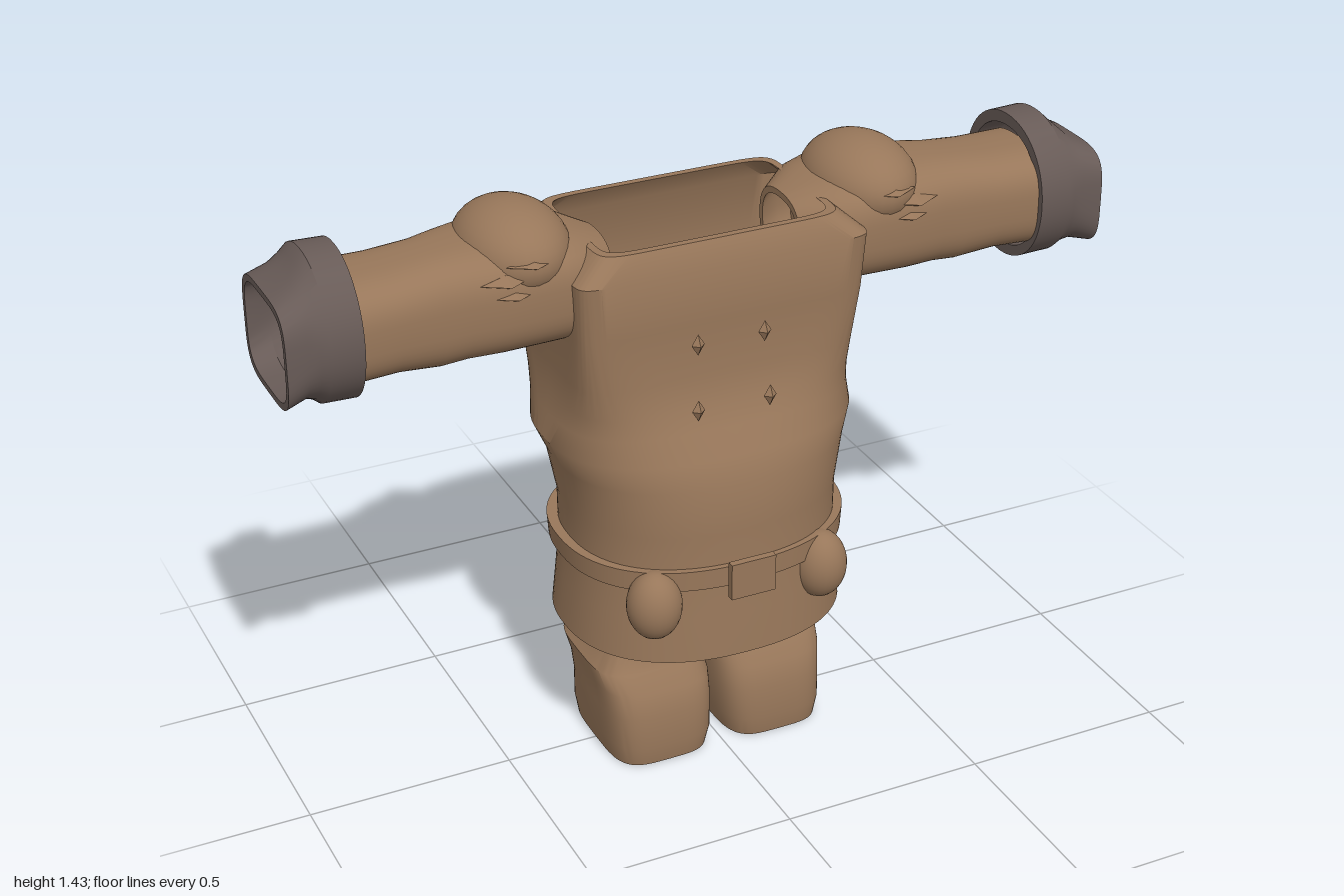
import * as THREE from 'three';
import { toCreasedNormals } from 'three/addons/utils/BufferGeometryUtils.js';

const leather = new THREE.MeshStandardMaterial({ color: 0x98775a, side: THREE.DoubleSide });
leather.name = 'brown leather';
const darkCloth = new THREE.MeshStandardMaterial({ color: 0x685b57, side: THREE.DoubleSide });
darkCloth.name = 'dark grey cloth';

// Rounded-rectangle cross-section; n = 2 is an ellipse, higher is boxier
function ring([y, x0, x1, z0, z1, n], count) {
  const pts = [];
  for (let i = 0; i < count; i++) {
    const a = (i / count) * Math.PI * 2;
    const c = Math.cos(a), s = Math.sin(a);
    const px = Math.sign(c) * Math.abs(c) ** (2 / n);
    const pz = Math.sign(s) * Math.abs(s) ** (2 / n);
    pts.push((x0 + x1) / 2 + px * (x1 - x0) / 2, y, (z0 + z1) / 2 + pz * (z1 - z0) / 2);
  }
  return pts;
}

// Skin a list of cross-sections
function loft(sections, crease = 0.6, count = 56) {
  const positions = sections.flatMap((s) => ring(s, count));
  const index = [];
  for (let j = 0; j < sections.length - 1; j++) {
    for (let i = 0; i < count; i++) {
      const a = j * count + i, b = j * count + ((i + 1) % count);
      index.push(a, a + count, b, b, a + count, b + count);
    }
  }
  const geo = new THREE.BufferGeometry();
  geo.setAttribute('position', new THREE.Float32BufferAttribute(positions, 3));
  geo.setIndex(index);
  return toCreasedNormals(geo, crease);
}

// Add an inner wall of thickness t, closed at both rims
function hollow(sections, t) {
  const inner = sections.map(([y, x0, x1, z0, z1, n]) => [y, x0 + t, x1 - t, z0 + t, z1 - t, n]).reverse();
  return [...sections, ...inner, sections[0]];
}

// Turn an upright loft to run along +x (section x becomes -y)
const alongX = (geo) => geo.rotateZ(-Math.PI / 2);

function add(parent, name, geo, mat, pos = [0, 0, 0], scale = [1, 1, 1]) {
  const mesh = new THREE.Mesh(geo, mat);
  mesh.name = name;
  mesh.position.set(...pos);
  mesh.scale.set(...scale);
  parent.add(mesh);
  return mesh;
}

function makeArm() {
  const arm = new THREE.Group();
  // sections: x, -top, -bottom, back z, front z, squareness
  const sleeve = [
    [0.23, -1.33, -1.16, -0.14, 0.06, 2.5],
    [0.30, -1.36, -1.13, -0.20, 0.11, 2.8],
    [0.36, -1.375, -1.12, -0.21, 0.125, 3],
    [0.50, -1.375, -1.115, -0.205, 0.12, 3],
    [0.58, -1.37, -1.115, -0.185, 0.11, 3],
    [0.64, -1.365, -1.11, -0.168, 0.105, 3],
    [0.74, -1.355, -1.12, -0.172, 0.11, 3],
    [0.86, -1.355, -1.115, -0.175, 0.115, 3],
  ];
  add(arm, 'sleeve', alongX(loft(hollow(sleeve, 0.015))), leather);

  const cuff = [
    [0.83, -1.413, -1.063, -0.215, 0.13, 2.1],
    [0.905, -1.415, -1.065, -0.217, 0.13, 2.1],
    [0.925, -1.395, -1.085, -0.20, 0.122, 2.3],
    [0.95, -1.37, -1.105, -0.182, 0.118, 3],
    [1.0, -1.345, -1.098, -0.175, 0.12, 4],
    [1.0, -1.33, -1.113, -0.16, 0.105, 4],
    [0.95, -1.34, -1.12, -0.165, 0.105, 3],
    [0.90, -1.385, -1.09, -0.19, 0.11, 2.2],
    [0.83, -1.385, -1.09, -0.19, 0.11, 2.1],
    [0.83, -1.413, -1.063, -0.215, 0.13, 2.1],
  ];
  add(arm, 'cuff', alongX(loft(cuff, 0.5)), darkCloth);

  add(arm, 'shoulderPad', new THREE.SphereGeometry(1, 32, 20), leather, [0.432, 1.33, -0.04], [0.128, 0.105, 0.167]);

  // Pointed cloth folds in front of and behind the shoulder
  for (const z of [0.105, -0.19]) {
    for (const [x, y] of [[0.44, 1.347], [0.5, 1.315], [0.485, 1.282]]) {
      add(arm, 'sleeveFold', new THREE.OctahedronGeometry(1), leather, [x, y, z], [0.06, 0.016, 0.035]);
    }
  }
  return arm;
}

function makeLeg() {
  const leg = new THREE.Group();
  const boot = [
    [0, 0.025, 0.272, -0.175, 0.162, 4],
    [0.05, 0.014, 0.28, -0.182, 0.17, 4],
    [0.13, 0.010, 0.283, -0.172, 0.162, 4],
    [0.19, 0.010, 0.288, -0.178, 0.15, 4],
    [0.232, 0.012, 0.295, -0.2, 0.115, 4],
    [0.29, 0.03, 0.25, -0.165, 0.085, 4],
    [0.335, 0.03, 0.235, -0.15, 0.09, 4],
  ];
  add(leg, 'boot', loft(hollow(boot, 0.014)), leather);

  const trouser = [
    [0.25, 0.037, 0.236, -0.15, 0.065, 4],
    [0.36, 0.03, 0.236, -0.16, 0.075, 4],
    [0.60, 0.025, 0.245, -0.18, 0.07, 4],
  ];
  add(leg, 'trouserLeg', loft(hollow(trouser, 0.012)), darkCloth);

  // Ragged trouser cloth showing over the boot top
  add(leg, 'trouserTatter', new THREE.OctahedronGeometry(1), darkCloth, [0.13, 0.325, 0.08], [0.045, 0.055, 0.02]);
  add(leg, 'trouserTatter', new THREE.OctahedronGeometry(1), darkCloth, [0.23, 0.335, -0.04], [0.018, 0.045, 0.065]);
  // Pointed boot-top tabs
  add(leg, 'bootTab', new THREE.ConeGeometry(1, 1, 4), leather, [0.2, 0.32, 0.085], [0.03, 0.09, 0.02]);
  return leg;
}

export function createModel() {
  const model = new THREE.Group();
  model.name = 'coatOutfit';

  // Coat: oval skirt and belly blending into a boxy chest
  const profile = [
    // y, half width, back z, front z, squareness
    [0.34, 0.343, -0.30, 0.285, 2.3],
    [0.45, 0.333, -0.288, 0.278, 2.3],
    [0.55, 0.325, -0.282, 0.27, 2.3],
    [0.66, 0.328, -0.275, 0.266, 2.3],
    [0.78, 0.348, -0.292, 0.264, 2.4],
    [0.84, 0.372, -0.303, 0.238, 2.6],
    [0.90, 0.358, -0.292, 0.205, 3.2],
    [0.95, 0.348, -0.282, 0.182, 4.5],
    [1.02, 0.346, -0.272, 0.168, 7],
    [1.15, 0.352, -0.264, 0.168, 12],
    [1.285, 0.358, -0.26, 0.173, 14],
    [1.34, 0.295, -0.225, 0.145, 10],
  ];
  const coat = profile.map(([y, w, back, front, n]) => [y, -w, w, back, front, n]);
  add(model, 'coat', loft(hollow(coat, 0.018), 0.6, 88), leather);

  // Belt, buckle and pouches
  const belt = [[0.532, -0.346, 0.346, -0.306, 0.283, 2.3], [0.582, -0.35, 0.35, -0.306, 0.283, 2.3]];
  add(model, 'belt', loft(hollow(belt, 0.03), 0.6, 88), leather);
  add(model, 'buckle', new THREE.BoxGeometry(0.112, 0.092, 0.018), leather, [-0.004, 0.556, 0.302]);
  for (const x of [-0.22, 0.206]) {
    add(model, 'pouch', new THREE.SphereGeometry(1, 28, 18), leather, [x, 0.5, 0.235], [0.065, 0.085, 0.065]);
  }

  // Diamond buttons
  for (const [x, y, z] of [[-0.085, 1.11, 0.185], [0.08, 1.11, 0.185], [-0.092, 0.955, 0.202], [0.087, 0.955, 0.202]]) {
    add(model, 'button', new THREE.OctahedronGeometry(1), leather, [x, y, z], [0.016, 0.026, 0.014]);
  }

  // Mirrored limbs
  for (const side of [1, -1]) {
    const label = side > 0 ? 'left' : 'right';
    const arm = makeArm();
    arm.name = label + 'Arm';
    const leg = makeLeg();
    leg.name = label + 'Leg';
    for (const limb of [arm, leg]) {
      limb.scale.x = side;
      model.add(limb);
    }
  }
  return model;
}
